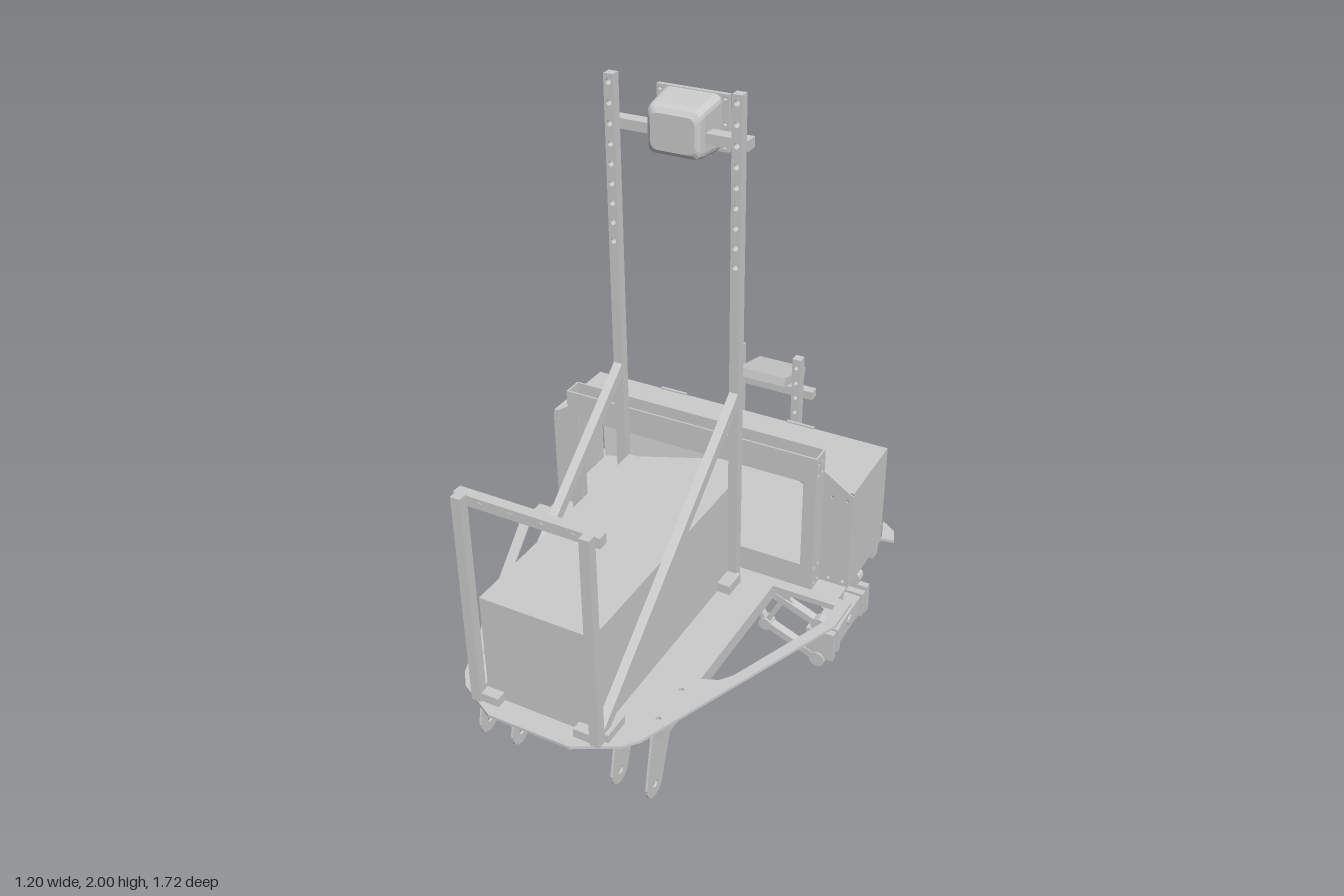
import * as THREE from 'three';

const grey = new THREE.MeshStandardMaterial({ color: 0xcccccc, flatShading: true });
const sheet = new THREE.MeshStandardMaterial({ color: 0xcccccc, flatShading: true, side: THREE.DoubleSide });
const V = (x, y, z) => new THREE.Vector3(x, y, z);

export function createModel() {
  const root = new THREE.Group();
  root.name = 'roverChassis';

  const add = (name, geo, mat = grey, parent = root) => {
    const m = new THREE.Mesh(geo, mat);
    m.name = name;
    parent.add(m);
    return m;
  };
  // box given by its two extreme corners
  const box = (name, x0, x1, y0, y1, z0, z1) =>
    add(name, new THREE.BoxGeometry(x1 - x0, y1 - y0, z1 - z0)
      .translate((x0 + x1) / 2, (y0 + y1) / 2, (z0 + z1) / 2));
  // straight bar between two points
  const bar = (name, p, q, w, d = w, round = false) => {
    const dir = q.clone().sub(p), len = dir.length();
    const g = round ? new THREE.CylinderGeometry(w / 2, w / 2, len, 10) : new THREE.BoxGeometry(w, len, d);
    const m = add(name, g);
    m.position.copy(p).lerp(q, 0.5);
    m.quaternion.setFromUnitVectors(V(0, 1, 0), dir.normalize());
    return m;
  };
  const poly = pts => new THREE.Shape(pts.map(([x, y]) => new THREE.Vector2(x, y)));
  const hole = (s, x, y, r) => s.holes.push(new THREE.Path().absarc(x, y, r, 0, Math.PI * 2, true));
  const extrude = (s, depth) => new THREE.ExtrudeGeometry(s, { depth, bevelEnabled: false, curveSegments: 8 });
  const rect = (x0, x1, y0, y1) => poly([[x0, y0], [x1, y0], [x1, y1], [x0, y1]]);
  const facets = quads => {
    const p = [];
    for (const f of quads)
      for (let i = 1; i < f.length - 1; i++) p.push(...f[0], ...f[i], ...f[i + 1]);
    const g = new THREE.BufferGeometry();
    g.setAttribute('position', new THREE.Float32BufferAttribute(p, 3));
    g.computeVertexNormals();
    return g;
  };

  // Base plate with two side cutouts (shape y is z)
  const half = [[0.06, -0.84], [0.1, -0.82], [0.54, -0.58], [0.58, -0.55], [0.6, -0.5], [0.555, -0.49],
    [0.555, -0.12], [0.6, -0.12], [0.6, 0.01], [0.31, 0.74], [0.27, 0.79], [0.14, 0.86]];
  const plate = poly([...half, ...half.map(([x, z]) => [-x, z]).reverse()]);
  for (const s of [-1, 1]) {
    plate.holes.push(poly([[0.34, -0.08], [0.56, -0.08], [0.56, 0.01], [0.42, 0.37], [0.39, 0.41], [0.34, 0.43]]
      .map(([x, z]) => [x * s, z])));
    hole(plate, s * 0.31, 0.5, 0.008);
    hole(plate, s * 0.31, 0.64, 0.008);
  }
  add('basePlate', extrude(plate, 0.01).rotateX(Math.PI / 2).translate(0, 0.342, 0));

  // Frame under the plate
  for (const s of [-1, 1]) box('frameRail', s * 0.32 - 0.018, s * 0.32 + 0.018, 0.287, 0.332, -0.47, 0.66);
  box('frontFrameBeam', -0.3, 0.3, 0.287, 0.332, 0.62, 0.66);
  box('middleFrameBeam', -0.55, 0.55, 0.287, 0.332, -0.18, -0.12);
  box('rearFrameBeam', -0.55, 0.55, 0.287, 0.332, -0.48, -0.44);

  // Long equipment box
  box('equipmentBox', -0.19, 0.19, 0.342, 0.705, -0.07, 0.785);

  // Rear hood: box sides and roof, folding down to a narrow tail
  const hood = [[[-0.56, 0.71, -0.19], [0.56, 0.71, -0.19], [0.555, 0.71, -0.49], [-0.555, 0.71, -0.49]],
    [[-0.555, 0.71, -0.49], [0.555, 0.71, -0.49], [0.1, 0.342, -0.71], [-0.1, 0.342, -0.71]]];
  for (const s of [-1, 1]) {
    hood.push([[s * 0.56, 0.342, -0.19], [s * 0.56, 0.71, -0.19], [s * 0.555, 0.71, -0.49], [s * 0.555, 0.342, -0.49]]);
    hood.push([[s * 0.555, 0.71, -0.49], [s * 0.555, 0.342, -0.5], [s * 0.1, 0.342, -0.71]]);
  }
  add('rearHood', facets(hood), sheet);
  for (const x of [-0.25, 0.24]) box('hoodHinge', x - 0.05, x + 0.05, 0.705, 0.715, -0.495, -0.485);

  // Front panel channel around the hood opening
  const panel = rect(-0.455, 0.455, 0.335, 0.848);
  panel.holes.push(rect(-0.415, 0.415, 0.43, 0.765));
  add('frontPanel', extrude(panel, 0.006).translate(0, 0, -0.126));
  box('channelBack', -0.455, 0.455, 0.705, 0.848, -0.19, -0.184);
  box('channelFloor', -0.455, 0.455, 0.765, 0.771, -0.185, -0.125);
  for (const s of [-1, 1]) {
    const side = rect(0.12, 0.187, 0.285, 0.848);
    for (const y of [0.36, 0.42, 0.78, 0.82]) for (const z of [0.138, 0.168]) hole(side, z, y, 0.006);
    add('channelSide', extrude(side, 0.006).rotateY(Math.PI / 2).translate(s * 0.455 - 0.003, 0, 0));
    // wing panel from channel to hood side
    const wing = poly([[0.44, 0.342], [0.56, 0.342], [0.56, 0.7], [0.455, 0.77], [0.44, 0.77]]
      .map(([x, y]) => [x * s, y]));
    for (const x of [0.49, 0.54]) for (const y of [0.36, 0.68]) hole(wing, s * x, y, 0.006);
    add('wingPanel', extrude(wing, 0.005).translate(0, 0, -0.19));
  }

  for (const s of [-1, 1]) {
    const x = s * 0.205;
    // Tall mast with a row of mounting holes
    const mast = rect(x - 0.016, x + 0.016, 0.342, 2.0);
    for (let i = 0; i < 9; i++) hole(mast, x, 1.48 + i * 0.062, 0.009);
    hole(mast, x, 1.01, 0.009);
    add('mast', extrude(mast, 0.032).translate(0, 0, -0.076));
    box('mastFoot', x - 0.03, x + 0.03, 0.342, 0.375, -0.05, 0.03);

    // Front post, brace and feet
    box('frontPost', x - 0.016, x + 0.016, 0.342, 1.07, 0.795, 0.827);
    bar('diagonalBrace', V(x, 0.365, 0.79), V(x, 1.045, -0.055), 0.03, 0.035);
    box('postFoot', Math.min(x, s * 0.13), Math.max(x, s * 0.13), 0.342, 0.372, 0.785, 0.82);
    box('postFootPlate', x - 0.028, x + 0.028, 0.342, 0.37, 0.7, 0.795);
  }
  box('frontCrossbar', -0.235, 0.235, 1.03, 1.064, 0.762, 0.795);
  for (const x of [-0.15, -0.05, 0.05, 0.15])
    add('barHole', new THREE.CylinderGeometry(0.008, 0.008, 0.003, 8).rotateX(Math.PI / 2).translate(x, 1.047, 0.796));

  // Mast sensor: crossbar, open-backed housing, flange
  box('sensorCrossbar', -0.225, 0.225, 1.828, 1.86, -0.12, -0.077);
  const sections = [[0.096, 1.775, 1.948, -0.185], [0.09, 1.78, 1.93, -0.075], [0.086, 1.783, 1.922, -0.057], [0.072, 1.797, 1.908, -0.046]];
  const rings = sections.map(([w, y0, y1, z]) => {
    const r = 0.022, ring = [];
    for (let c = 0; c < 4; c++) for (let k = 0; k <= 3; k++) {
      const a = c * Math.PI / 2 + k * Math.PI / 6;
      const sx = c === 0 || c === 3 ? 1 : -1, cy = c < 2 ? y1 - r : y0 + r;
      ring.push([sx * (w - r) + r * Math.cos(a), cy + r * Math.sin(a), z]);
    }
    return ring;
  });
  const shell = [rings[3]];
  for (let i = 0; i < 3; i++) for (let j = 0; j < 16; j++) {
    const k = (j + 1) % 16;
    shell.push([rings[i][j], rings[i][k], rings[i + 1][k], rings[i + 1][j]]);
  }
  add('sensorHousing', facets(shell), sheet);
  const flange = rect(-0.118, 0.118, 1.775, 1.948);
  flange.holes.push(rect(-0.088, 0.088, 1.79, 1.935));
  for (const x of [-0.106, 0.106]) for (const y of [1.79, 1.86, 1.935]) hole(flange, x, y, 0.006);
  add('sensorFlange', extrude(flange, 0.015).translate(0, 0, -0.185));

  // Rear sensor stand
  for (const s of [-1, 1]) {
    const post = rect(s * 0.115 - 0.016, s * 0.115 + 0.016, 0.342, 0.815);
    for (let i = 0; i < 7; i++) hole(post, s * 0.115, 0.42 + i * 0.06, 0.008);
    add('rearPost', extrude(post, 0.034).translate(0, 0, -0.758));
    box('rearPostFoot', s * 0.115 - 0.03, s * 0.115 + 0.03, 0.342, 0.36, -0.77, -0.7);
  }
  box('rearCrossbar', -0.165, 0.165, 0.645, 0.677, -0.795, -0.76);
  box('rearSensorNeck', -0.04, 0.04, 0.675, 0.715, -0.8, -0.76);
  const top = rect(-0.092, 0.092, -0.092, 0.092);
  for (const x of [-0.07, 0.07]) for (const y of [-0.07, 0.07]) hole(top, x, y, 0.007);
  const pad = add('rearSensorPlate', extrude(top, 0.032).rotateX(Math.PI / 2).translate(0, 0.016, 0));
  pad.position.set(0, 0.717, -0.77);
  pad.rotation.x = -0.24;

  // Front caster legs: pairs of slanted plates with axle holes
  const leg = poly([[-0.54, 0.285], [-0.665, 0.285], [-0.705, 0.1]]);
  leg.absarc(-0.657, 0.092, 0.046, Math.PI, Math.PI * 1.9, false);
  hole(leg, -0.657, 0.092, 0.014);
  for (const s of [-1, 1]) {
    for (const x of [0.18, 0.3])
      add('casterLeg', extrude(leg, 0.008).rotateY(Math.PI / 2).translate(s * x - 0.004, 0, 0));
    box('casterMount', s * 0.24 - 0.065, s * 0.24 + 0.065, 0.27, 0.29, 0.54, 0.66);
  }

  // Rear suspension: wishbones at both ends of each hub carrier
  for (const s of [-1, 1]) {
    const P = (x, y, z) => V(s * x, y, z);
    const pin = (p, r, len) => add('pivot', new THREE.CylinderGeometry(r, r, len, 12).rotateX(Math.PI / 2).translate(p.x, p.y, p.z));
    for (const z of [-0.16, -0.455]) {
      const up = P(0.48, 0.18, z), low = P(0.48, 0.036, z), inner = P(0.285, 0.115, z), topIn = P(0.29, 0.255, z);
      bar('upperArm', topIn, up, 0.026, 0.03);
      bar('lowerArm', inner, low, 0.026, 0.03);
      bar('hangerStrut', P(0.2, 0.27, z), inner, 0.018, 0.024);
      bar('hangerStrut', P(0.37, 0.285, z), inner, 0.018, 0.024);
      bar('hangerBar', P(0.19, 0.255, z), P(0.37, 0.255, z), 0.018, 0.024);
      bar('hubLink', up, low, 0.022, 0.02);
      bar('armBrace', P(0.33, 0.28, z), P(0.39, 0.215, z), 0.016);
      for (const p of [up, low]) pin(p, 0.028, 0.036);
      for (const p of [inner, topIn]) pin(p, 0.023, 0.04);
      const cx = s * 0.485;
      box('hubEnd', cx - 0.05, cx + 0.05, 0.045, 0.155, z - 0.012, z + 0.012);
    }
    const cx = s * 0.485;
    box('hubCarrier', cx - 0.042, cx + 0.042, 0.065, 0.14, -0.44, -0.175);
    for (const z of [-0.2, -0.415]) box('hubRib', cx - 0.05, cx + 0.05, 0.055, 0.15, z - 0.012, z + 0.012);
    add('hubBore', new THREE.CylinderGeometry(0.018, 0.018, 0.1, 10).rotateZ(Math.PI / 2).translate(cx, 0.11, -0.305));
    bar('innerPivotRod', P(0.285, 0.115, -0.16), P(0.285, 0.115, -0.455), 0.014, 0.014, true);
    bar('shockAbsorber', P(0.26, 0.29, -0.305), P(0.45, 0.12, -0.305), 0.03, 0.03, true);
  }

  // The whole body rests with a slight lean
  root.rotation.set(0.007, 0, 0.01);
  const model = new THREE.Group();
  model.name = 'rover';
  model.add(root);
  return model;
}
